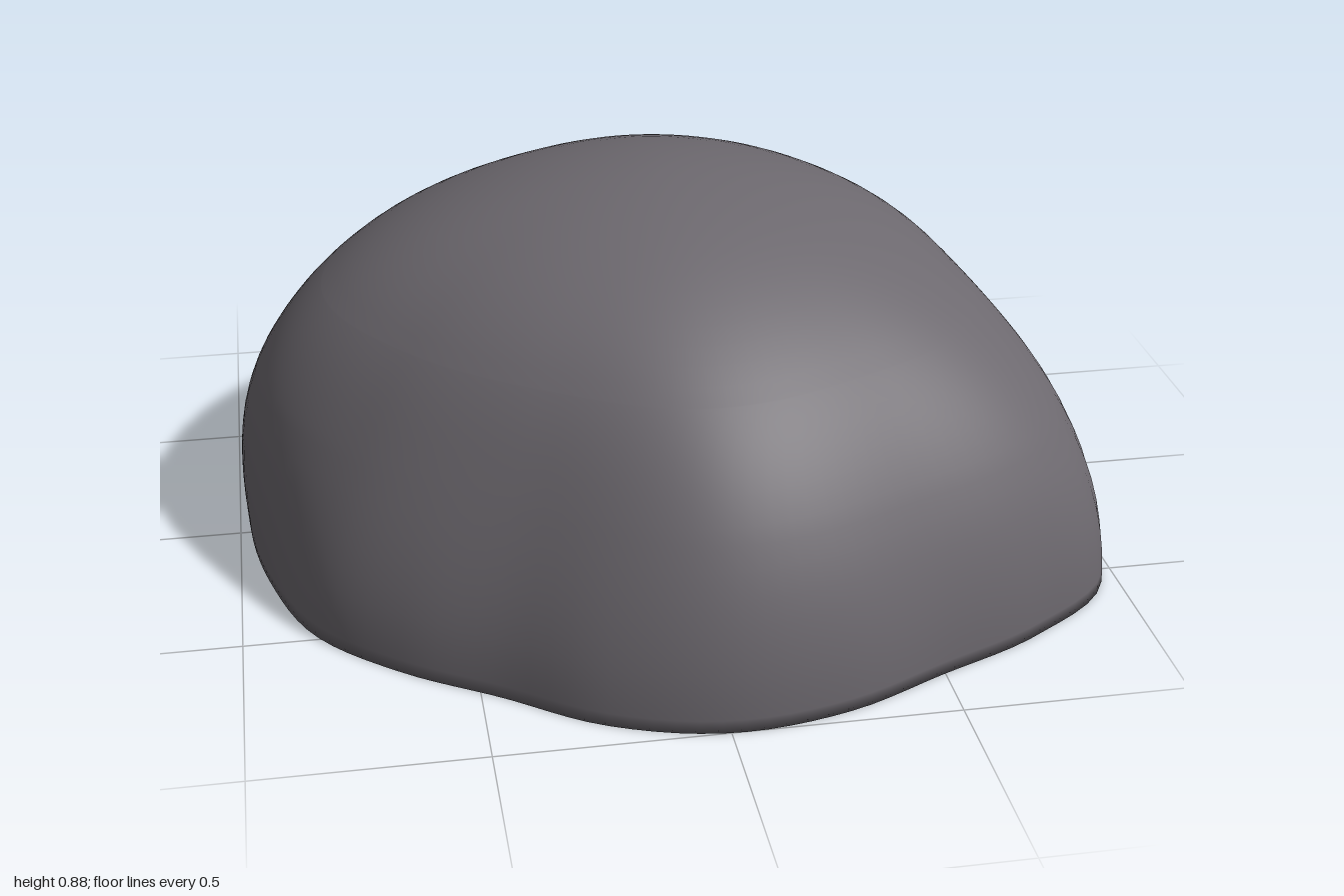
import * as THREE from 'three';
import { mergeVertices } from 'three/addons/utils/BufferGeometryUtils.js';

const TOP = 0.88, IN_TOP = 0.76, IN_R = 0.85;
const SPRING = 0.39, HALF = 0.225, SILL = 0.03, FLOOR = 0.05;
const COLS = 120, CAP = 16, ARCH = 12, WALL = 7;

// outlines from +x towards +z, relative to a dome, at elevations 0, 30, 60 and 90 degrees
const OUTLINES = [
  [0.915, 0.985, 1.11, 1.055, 0.995, 1, 1, 0.965, 0.915, 0.935, 0.97, 0.965,
    0.975, 1, 1, 1.005, 1, 1.01, 1, 0.995, 1.02, 0.945, 0.92, 0.95],
  [0.95, 1.1, 1, 1, 0.89, 0.94, 1.05, 1.04, 1, 1, 1.01, 0.95],
  [1.03, 1.04, 1, 1, 0.97, 1, 1.08, 1.06, 1, 1, 1, 1],
  [1],
];

// smooth curve through four neighbouring values
const spline = (p, q, r, s, t) =>
  q + 0.5 * t * (r - p + t * (2 * p - 5 * q + 4 * r - s + t * (3 * (q - r) + s - p)));

function outline(list, a) {
  const n = list.length;
  const f = ((a / (Math.PI * 2)) % 1 + 1) % 1 * n;
  const i = Math.floor(f);
  const [p, q, r, s] = [-1, 0, 1, 2].map(k => list[(i + k + n) % n]);
  return spline(p, q, r, s, f - i);
}

// horizontal radius of the two surfaces at height y and angle a
function outerR(y, a) {
  const h = Math.min(1, y / TOP);
  const f = Math.asin(h) / (Math.PI / 6), i = Math.min(2, Math.floor(f));
  const [p, q, r, s] = [-1, 0, 1, 2].map(k => outline(OUTLINES[Math.min(3, Math.max(0, i + k))], a));
  return Math.sqrt(1 - h * h) * spline(p, q, r, s, f - i);
}
const innerR = y => IN_R * Math.sqrt(Math.max(0, 1 - (y / IN_TOP) ** 2));

const at = (R, y, a) => {
  const r = R(y, a);
  return [r * Math.cos(a), y, r * Math.sin(a)];
};

// angle at which the surface meets the doorway side
function edge(R, y, half, side) {
  let a = 0;
  if (half > 1e-6) for (let k = 0; k < 16; k++) a = side * Math.asin(half / R(y, a));
  return a;
}

// rows from the crown of the dome to the ground, with the doorway half width
function makeRows(top, crown) {
  const rows = [];
  const low = Math.asin(crown / top);
  for (let i = 0; i < CAP; i++) {
    rows.push({ y: top * Math.sin(Math.PI / 2 + (low - Math.PI / 2) * i / CAP), half: 0 });
  }
  for (let i = 0; i <= ARCH; i++) {
    const k = Math.PI / 2 * (1 - i / ARCH);
    rows.push({ y: SPRING + (crown - SPRING) * Math.sin(k), half: i ? HALF * Math.cos(k) : 0 });
  }
  for (let i = 1; i <= WALL; i++) rows.push({ y: SPRING + (SILL - SPRING) * i / WALL, half: HALF });
  rows.push({ y: 0, half: HALF });
  return rows;
}

// surface through a grid of points
function grid(points) {
  const cols = points[0].length, index = [];
  for (let i = 0; i < points.length - 1; i++) {
    for (let j = 0; j < cols - 1; j++) {
      const a = i * cols + j, c = a + cols;
      index.push(a, a + 1, c, a + 1, c + 1, c);
    }
  }
  const g = new THREE.BufferGeometry();
  g.setAttribute('position', new THREE.Float32BufferAttribute(points.flat(2), 3));
  g.setIndex(index);
  return g;
}

function smooth(g) {
  const m = mergeVertices(g, 1e-4);
  m.computeVertexNormals();
  return m;
}

function flat(g) {
  const m = g.toNonIndexed();
  m.computeVertexNormals();
  return m;
}

export function createModel() {
  const group = new THREE.Group();
  group.name = 'cave';
  const rock = new THREE.MeshStandardMaterial({ color: 0x6c686e, side: THREE.DoubleSide });
  rock.name = 'grey rock';
  const add = (name, geometry) => {
    const mesh = new THREE.Mesh(geometry, rock);
    mesh.name = name;
    group.add(mesh);
    return mesh;
  };

  // hollow shell: down the outside, across the rim, up the inside
  const outer = makeRows(TOP, 0.615), inner = makeRows(IN_TOP, 0.585);
  const ring = (R, { y, half }) => {
    const a0 = edge(R, y, half, 1), a1 = Math.PI * 2 + edge(R, y, half, -1);
    return Array.from({ length: COLS + 1 }, (_, j) => at(R, y, a0 + (a1 - a0) * j / COLS));
  };
  add('shell', smooth(grid([
    ...outer.map(r => ring(outerR, r)),
    ...inner.map(r => ring(innerR, r)).reverse(),
  ])));

  // doorway lining between the outer and inner arch
  const archLine = (R, rows) => {
    const door = rows.slice(CAP, CAP + ARCH + WALL + 1);
    const sidePoints = s => door.map(({ y, half }) => at(R, y, edge(R, y, half, s)));
    return [...sidePoints(-1).reverse(), ...sidePoints(1).slice(1)];
  };
  add('doorway', smooth(grid([archLine(outerR, outer), archLine(innerR, inner)])));

  // low sill closing the rim under the doorway
  const sillLine = (R, y) => {
    const a0 = edge(R, y, HALF, -1), a1 = edge(R, y, HALF, 1);
    return Array.from({ length: 13 }, (_, j) => at(R, y, a0 + (a1 - a0) * j / 12));
  };
  add('sill', flat(grid([
    sillLine(outerR, SILL), sillLine(outerR, 0), sillLine(innerR, 0),
    sillLine(innerR, SILL), sillLine(outerR, SILL),
  ])));

  // floor disc
  const floor = add('floor', new THREE.CircleGeometry(0.805, 64));
  floor.rotation.x = -Math.PI / 2;
  floor.position.y = FLOOR;

  // stalagmites along the wall: x, z, radius, height
  [
    [0.265, -0.685, 0.045, 0.17], [0.045, -0.74, 0.055, 0.14], [-0.48, -0.52, 0.04, 0.2],
    [-0.59, -0.39, 0.045, 0.16], [-0.715, -0.07, 0.045, 0.19], [-0.73, 0.165, 0.06, 0.14],
    [-0.59, 0.27, 0.045, 0.16], [-0.575, 0.37, 0.045, 0.2], [-0.35, 0.585, 0.045, 0.17],
    [0.09, 0.745, 0.045, 0.15],
  ].forEach(([x, z, r, h], i) => {
    const spike = add('stalagmite', flat(new THREE.ConeGeometry(r, h, 6)));
    spike.position.set(x, FLOOR - 0.015 + h / 2, z);
    spike.rotation.y = i * 1.3;
  });

  // stalactites under the ceiling: x, z, radius, height
  [
    [-0.55, -0.045, 0.04, 0.22], [-0.44, 0.045, 0.035, 0.18], [-0.42, -0.02, 0.03, 0.17],
    [-0.45, -0.09, 0.035, 0.17], [-0.2, 0.4, 0.035, 0.2], [0.1, -0.42, 0.04, 0.18],
    [-0.3, -0.35, 0.035, 0.2],
  ].forEach(([x, z, r, h], i) => {
    const ceiling = IN_TOP * Math.sqrt(1 - (x * x + z * z) / IN_R ** 2);
    const spike = add('stalactite', flat(new THREE.ConeGeometry(r, h, 6)));
    spike.position.set(x, ceiling + 0.02 - h / 2, z);
    spike.rotation.set(Math.PI, i * 0.9, 0);
  });

  return group;
}
